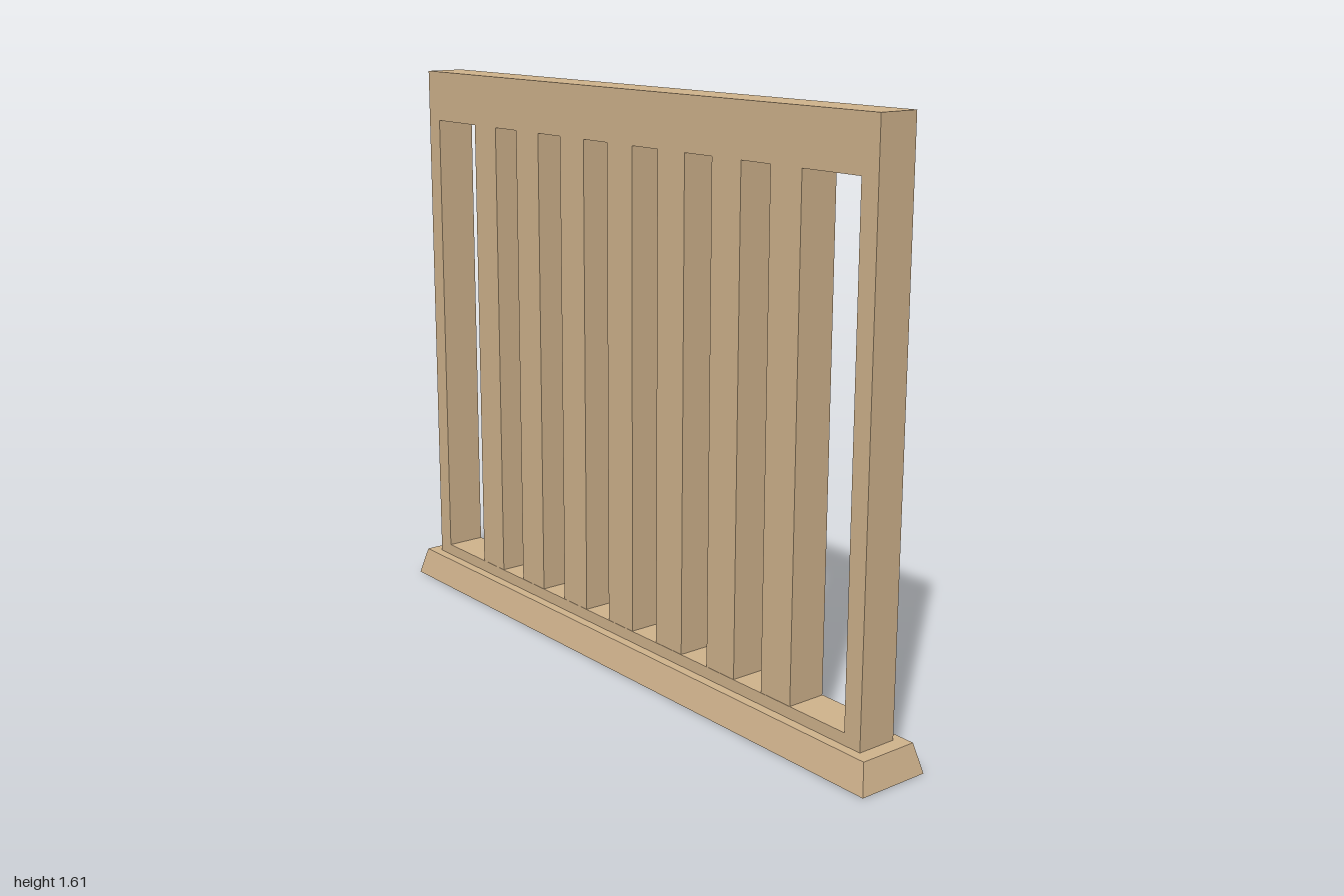
import * as THREE from 'three';

export function createModel() {
  const group = new THREE.Group();
  const wood = new THREE.MeshStandardMaterial({ color: 0xd1b48d });
  wood.name = 'tan wood';

  const add = (name, geometry, x = 0, y = 0, z = 0) => {
    const mesh = new THREE.Mesh(geometry, wood);
    mesh.name = name;
    mesh.position.set(x, y, z);
    group.add(mesh);
  };

  const baseH = 0.08, top = 1.607, halfLength = 0.94, thickness = 0.115;
  const openBottom = 0.113, openTop = 1.462, openHalf = 0.886;

  // Tapered plinth: a box whose upper corners are drawn in by 0.02
  let plinth = new THREE.BoxGeometry(0.21, baseH, 2);
  const p = plinth.attributes.position;
  for (let i = 0; i < p.count; i++) {
    if (p.getY(i) > 0) {
      p.setX(i, p.getX(i) - Math.sign(p.getX(i)) * 0.02);
      p.setZ(i, p.getZ(i) - Math.sign(p.getZ(i)) * 0.02);
    }
  }
  plinth.computeVertexNormals();
  add('plinth', plinth, 0, baseH / 2, 0);

  // Frame: posts, top rail and sill cut from one board
  const rect = (target, half, y0, y1) => target
    .moveTo(-half, y0).lineTo(half, y0).lineTo(half, y1).lineTo(-half, y1).closePath();
  const outline = rect(new THREE.Shape(), halfLength, baseH, top);
  outline.holes.push(rect(new THREE.Path(), openHalf, openBottom, openTop));
  const frame = new THREE.ExtrudeGeometry(outline, { depth: thickness, bevelEnabled: false });
  frame.translate(0, 0, -thickness / 2).rotateY(Math.PI / 2);
  add('frame', frame);

  // Seven evenly spaced balusters
  const balusterH = openTop - openBottom;
  const baluster = new THREE.BoxGeometry(thickness - 0.002, balusterH, 0.108);
  for (let i = -3; i <= 3; i++) {
    add('baluster', baluster, 0, openBottom + balusterH / 2, i * 0.213);
  }

  return group;
}
